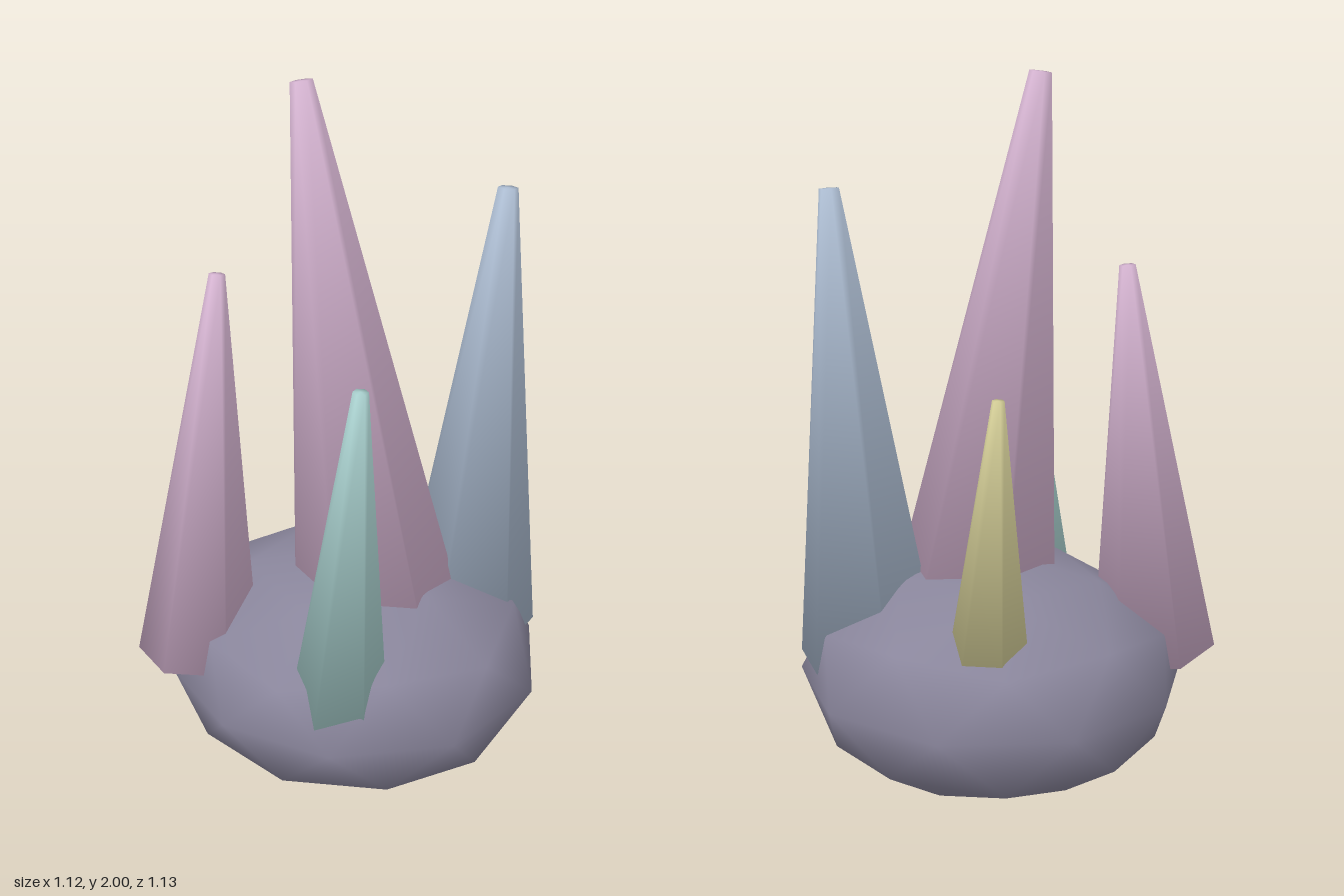
import * as THREE from 'three';
import { mergeVertices } from 'three/addons/utils/BufferGeometryUtils.js';

const material = (name, color) => {
  const m = new THREE.MeshStandardMaterial({ color });
  m.name = name;
  return m;
};

// Squat, slightly lopsided boulder: a once-divided icosahedron with poles on y
function rockGeometry() {
  let g = new THREE.IcosahedronGeometry(1, 1);
  g.rotateX(-Math.atan2((1 + Math.sqrt(5)) / 2, 1));
  g.rotateY(Math.PI / 2);
  g.deleteAttribute('uv');
  g.deleteAttribute('normal');
  g = mergeVertices(g, 1e-3);
  const p = g.attributes.position;
  for (let i = 0; i < p.count; i++) {
    const x = p.getX(i), y = p.getY(i), z = p.getZ(i);
    const s = 1 + 0.055 * x - 0.03 * x * x;
    p.setXYZ(i, 0.01 + 0.563 * s * x, 0.335 + (y > 0 ? 0.34 : 0.333) * s * y, 0.563 * s * z);
  }
  g.computeVertexNormals();
  return g;
}

// Six-sided tapered spike; normals are shared between the sides and end caps
function crystal(name, base, tip, baseRadius, tipRadius, mat) {
  const from = new THREE.Vector3(...base);
  const axis = new THREE.Vector3(...tip).sub(from);
  const length = axis.length();
  const g = new THREE.CylinderGeometry(tipRadius, baseRadius, length, 6);
  g.translate(0, length / 2, 0);
  const p = g.attributes.position, n = new THREE.Vector3();
  for (let i = 0; i < p.count; i++) {
    n.set(p.getX(i), 0, p.getZ(i));
    if (n.length() > 1e-4) n.normalize().multiplyScalar(0.8);
    n.y = p.getY(i) > length / 2 ? 0.65 : -0.58;
    n.normalize();
    g.attributes.normal.setXYZ(i, n.x, n.y, n.z);
  }
  const mesh = new THREE.Mesh(g, mat);
  mesh.name = name;
  mesh.position.copy(from);
  mesh.quaternion.setFromUnitVectors(new THREE.Vector3(0, 1, 0), axis.normalize());
  return mesh;
}

export function createModel() {
  const group = new THREE.Group();
  group.name = 'crystalCluster';

  const stone = material('stone', 0x8a869c);
  const pink = material('pinkCrystal', 0xd4b3d0);
  const blue = material('blueCrystal', 0xadbdd2);
  const teal = material('tealCrystal', 0xa9d0ce);
  const yellow = material('yellowCrystal', 0xd2cc96);

  const rock = new THREE.Mesh(rockGeometry(), stone);
  rock.name = 'rockBase';
  group.add(rock);

  // Crystals: name, base centre, tip centre, base radius, tip radius, colour
  const crystals = [
    ['centreCrystal', [0.075, 0.4, 0.095], [-0.06, 2.0, -0.11], 0.255, 0.03, pink],
    ['leftCrystal', [0.375, 0.39, 0.1], [0.46, 1.7, 0.095], 0.205, 0.028, blue],
    ['rightCrystal', [-0.41, 0.39, -0.135], [-0.28, 1.5, -0.19], 0.175, 0.022, pink],
    ['frontCrystal', [-0.205, 0.38, 0.315], [-0.19, 1.35, 0.4], 0.135, 0.02, teal],
    ['backCrystal', [0.165, 0.4, -0.33], [0.16, 1.2, -0.405], 0.12, 0.016, yellow],
  ];
  for (const c of crystals) group.add(crystal(...c));

  return group;
}
